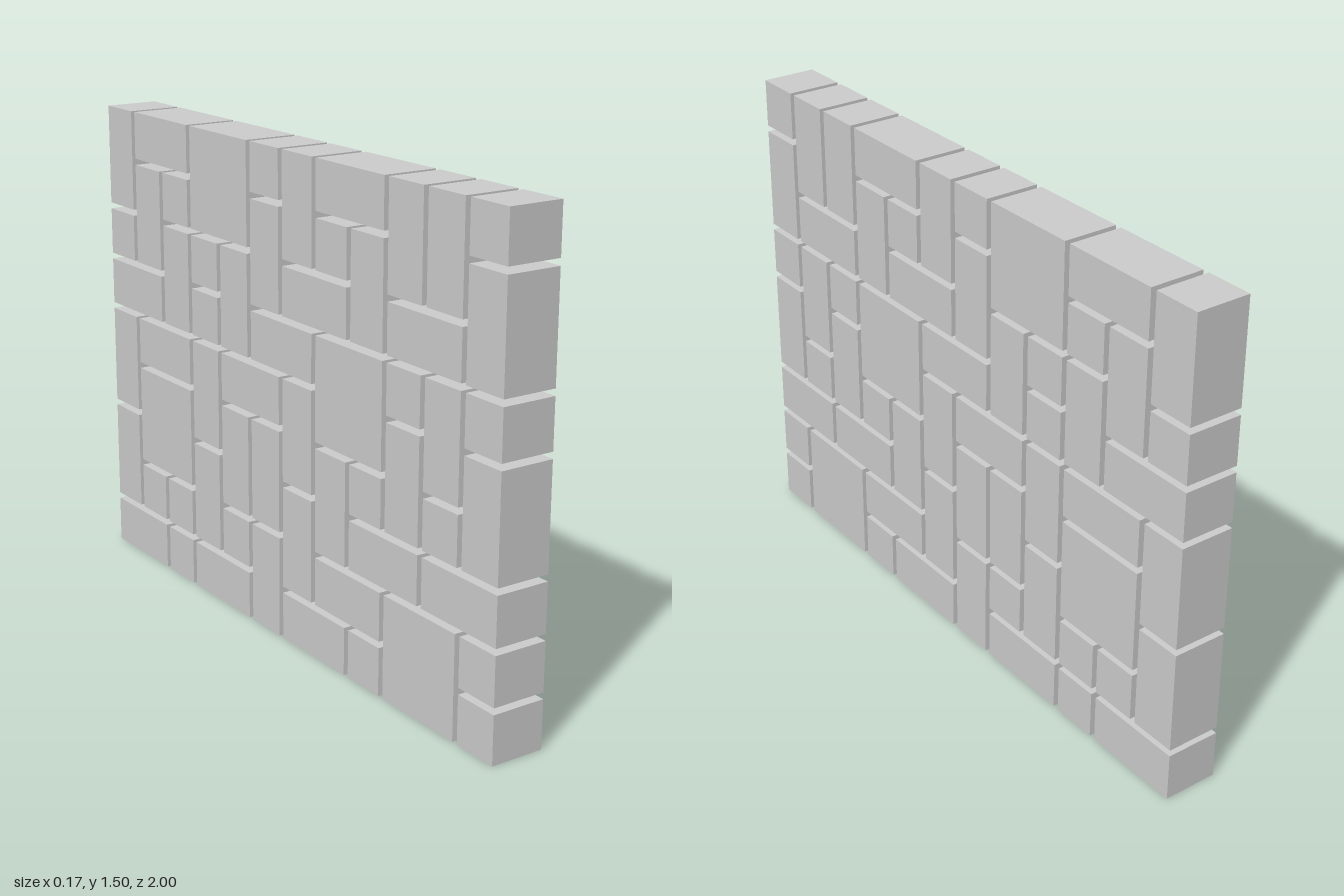
import * as THREE from 'three';

// Wall plan seen from the -x/+x side: 12 columns (from +z to -z) by 9 rows (top down).
// Neighbouring cells with the same letter form one block.
const PLAN = [
  'abcddefgghhi',
  'jbckleFggmni',
  'jppkqqFrstnu',
  'vwxyyzzrAtBB',
  'CwDyyEGGHIIJ',
  'CKDLMENOHPPJ',
  'QQRRMSNOTPPU',
  'VWWXXSYZTabU',
  'cWWdeeYffghh',
];
const COLS = 12, ROWS = 9;
const GAP = 0.02;
const PITCH = (2 + GAP) / COLS;
const DEPTH = 0.17;

export function createModel() {
  const wall = new THREE.Group();
  wall.name = 'blockWall';
  const material = new THREE.MeshStandardMaterial({ color: 0xcccccc, flatShading: true });
  const used = PLAN.map(() => new Array(COLS).fill(false));

  for (let row = 0; row < ROWS; row++) {
    for (let col = 0; col < COLS; col++) {
      if (used[row][col]) continue;
      const id = PLAN[row][col];
      // Grow the block right and down over cells sharing its letter
      let w = 1, h = 1;
      while (PLAN[row][col + w] === id) w++;
      while (row + h < ROWS && PLAN[row + h][col] === id) h++;
      for (let r = 0; r < h; r++) for (let c = 0; c < w; c++) used[row + r][col + c] = true;

      const block = new THREE.Mesh(
        new THREE.BoxGeometry(DEPTH, h * PITCH - GAP, w * PITCH - GAP), material);
      block.name = `block_${row}_${col}`;
      block.position.set(
        0,
        (ROWS - row - h / 2) * PITCH - GAP / 2,
        1 + GAP / 2 - (col + w / 2) * PITCH);
      wall.add(block);
    }
  }
  return wall;
}
